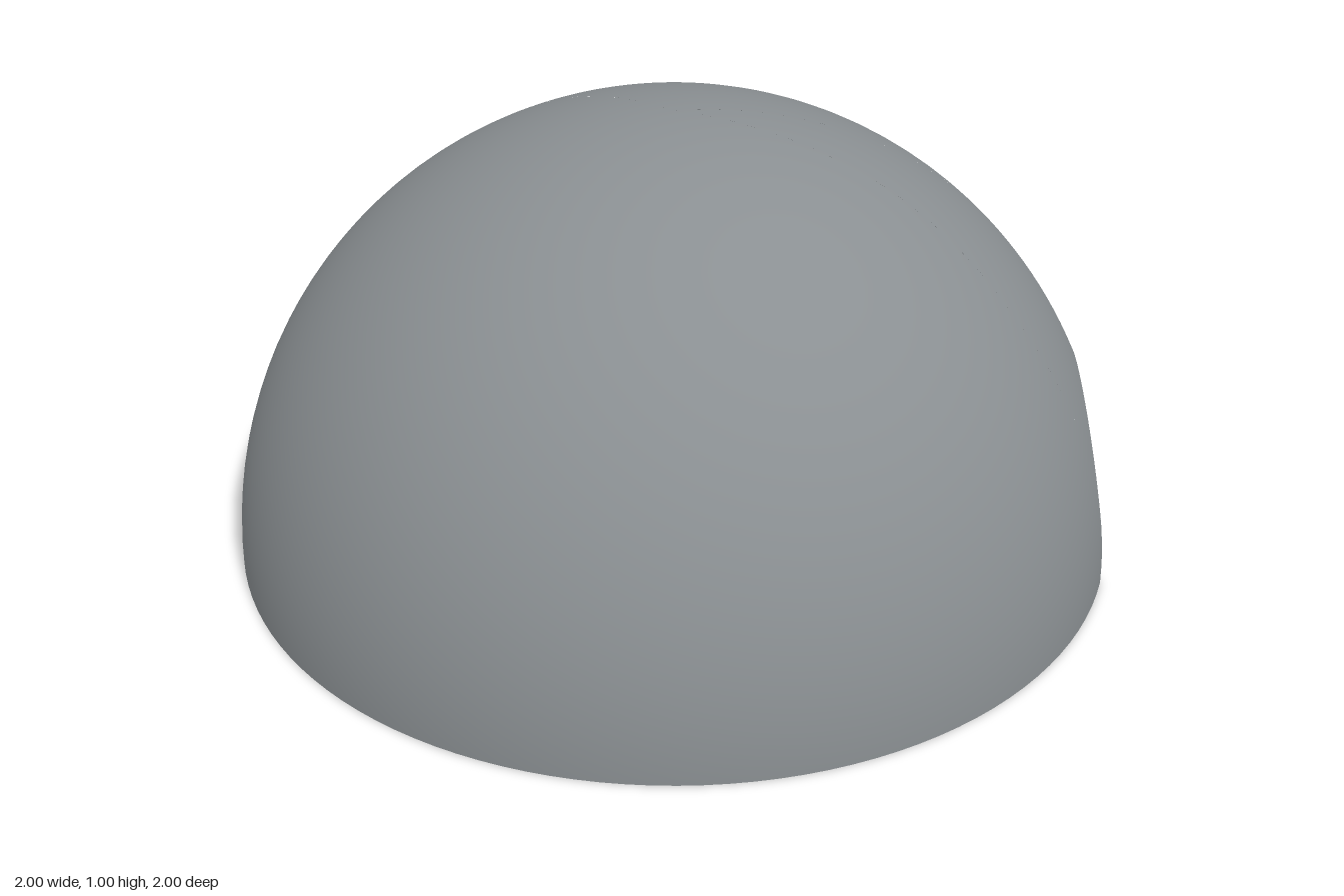
import * as THREE from 'three';

const INNER = 0.975;               // inner radius of the shell, outer is 1
const HALF = 0.26, STRAIGHT = 0.16; // doorway half width and height of straight jambs
const HALF_ANGLE = Math.asin(HALF);
const DOORS = [13.05, 137.3].map(THREE.MathUtils.degToRad);
const ROWS = 32, ARCH = 40;

// Columns around the dome: angle a and height h where the shell begins
function makeColumns() {
  const columns = [];
  DOORS.forEach((door, n) => {
    for (let i = 0; i <= ARCH; i++) {
      const t = Math.PI * i / ARCH;
      columns.push({ a: door + Math.asin(-HALF * Math.cos(t)), h: STRAIGHT + HALF * Math.sin(t) });
    }
    const next = n + 1 < DOORS.length ? DOORS[n + 1] : DOORS[0] + Math.PI * 2;
    const start = door + HALF_ANGLE, end = next - HALF_ANGLE;
    const steps = Math.ceil((end - start) / 0.05);
    for (let i = 0; i <= steps; i++) columns.push({ a: start + (end - start) * i / steps, h: 0 });
  });
  columns.push(columns[0]);
  return columns;
}

// Widen the angle with height near a doorway so that its jambs stay upright
function uprightAngle(a, y) {
  for (const door of DOORS) {
    const d = Math.atan2(Math.sin(a - door), Math.cos(a - door));
    const fade = (1 - THREE.MathUtils.smoothstep(Math.abs(d), HALF_ANGLE, 0.8))
      * (1 - THREE.MathUtils.smoothstep(y, 0.42, 0.9));
    if (fade > 0) {
      const s = Math.sin(d) / Math.sqrt(1 - y * y);
      return a + (Math.asin(THREE.MathUtils.clamp(s, -1, 1)) - d) * fade;
    }
  }
  return a;
}

function shellPoint(column, radius, v) {
  const low = Math.asin(column.h / radius);
  const e = low + (Math.PI / 2 - low) * v;
  const y = radius * Math.sin(e), r = radius * Math.cos(e);
  const a = uprightAngle(column.a, y);
  return new THREE.Vector3(r * Math.cos(a), y, -r * Math.sin(a));
}

// Spherical skin with smooth normals, facing out (side 1) or in (side -1)
function skin(columns, radius, side) {
  const positions = [], normals = [], index = [];
  const row = ROWS + 1;
  columns.forEach((column, i) => {
    for (let j = 0; j <= ROWS; j++) {
      const p = shellPoint(column, radius, j / ROWS);
      positions.push(p.x, p.y, p.z);
      normals.push(...p.normalize().multiplyScalar(side).toArray());
    }
    const next = columns[i + 1];
    if (!next || Math.abs(Math.sin(next.a - column.a)) < 1e-6) return;
    for (let j = 0; j < ROWS; j++) {
      const a = i * row + j, b = a + row;
      if (side > 0) index.push(a, b, b + 1, a, b + 1, a + 1);
      else index.push(a, b + 1, b, a, a + 1, b + 1);
    }
  });
  const geometry = new THREE.BufferGeometry();
  geometry.setAttribute('position', new THREE.Float32BufferAttribute(positions, 3));
  geometry.setAttribute('normal', new THREE.Float32BufferAttribute(normals, 3));
  geometry.setIndex(index);
  return geometry;
}

// Cut edge of the shell: foot ring, jambs and arches
function edge(columns) {
  const positions = [];
  for (let i = 0; i + 1 < columns.length; i++) {
    const [o0, o1] = [columns[i], columns[i + 1]].map((c) => shellPoint(c, 1, 0));
    const [n0, n1] = [columns[i], columns[i + 1]].map((c) => shellPoint(c, INNER, 0));
    for (const p of [o0, n0, n1, o0, n1, o1]) positions.push(p.x, p.y, p.z);
  }
  const geometry = new THREE.BufferGeometry();
  geometry.setAttribute('position', new THREE.Float32BufferAttribute(positions, 3));
  geometry.computeVertexNormals();
  return geometry;
}

export function createModel() {
  const group = new THREE.Group();
  group.name = 'dome';
  const grey = new THREE.MeshStandardMaterial({ color: 0x8a8f92 });
  grey.name = 'dome grey';
  const columns = makeColumns();
  const parts = {
    outerShell: skin(columns, 1, 1),
    innerShell: skin(columns, INNER, -1),
    shellEdge: edge(columns),
  };
  for (const [name, geometry] of Object.entries(parts)) {
    const mesh = new THREE.Mesh(geometry, grey);
    mesh.name = name;
    group.add(mesh);
  }
  return group;
}
